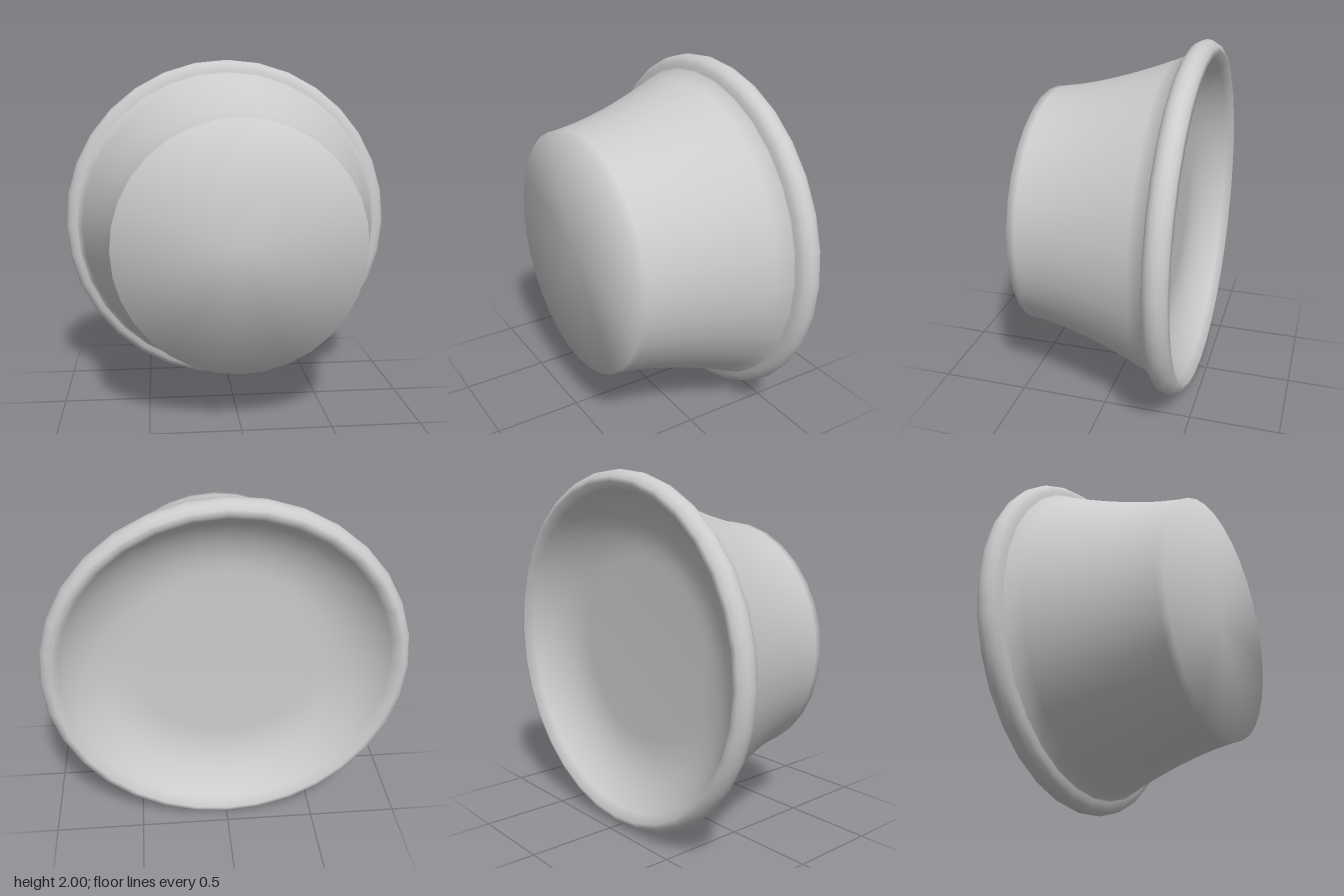
import * as THREE from 'three';

const SEGMENTS = 32;

// Unit normal of every profile point, averaged over its two neighbouring edges
function profileNormals(points) {
  const edges = points.slice(1).map((p, i) => {
    const d = p.clone().sub(points[i]);
    return new THREE.Vector2(d.y, -d.x).normalize();
  });
  return points.map((p, i) => {
    const a = edges[Math.max(i - 1, 0)];
    const b = edges[Math.min(i, edges.length - 1)];
    return p.x === 0 ? new THREE.Vector2(0, Math.sign(a.y + b.y)) : a.clone().add(b).normalize();
  });
}

// Turn a section of the profile about the z axis, keeping its shared smooth normals
function turn(points, normals) {
  const geometry = new THREE.LatheGeometry(points, SEGMENTS);
  const normal = geometry.attributes.normal;
  for (let i = 0; i < normal.count; i++) {
    const phi = Math.floor(i / points.length) / SEGMENTS * Math.PI * 2;
    const n = normals[i % points.length];
    normal.setXYZ(i, n.x * Math.sin(phi), n.y, n.x * Math.cos(phi));
  }
  return geometry.rotateX(Math.PI / 2);
}

export function createModel() {
  const group = new THREE.Group();
  const grey = new THREE.MeshStandardMaterial({ color: 0xcccccc });
  grey.name = 'plain grey';

  // Profile as (radius, z), from the middle of the back dish to the middle of the front
  const points = [];
  const starts = {};
  const add = (r, z) => points.push(new THREE.Vector2(r, z));

  // Hollow back: flat floor rising in an arc right up to the crest of the rim
  starts.backDish = 0;
  add(0, -0.248);
  for (let i = 0; i <= 8; i++) {
    const a = THREE.MathUtils.degToRad(55 * i / 8);
    add(0.52 + 0.508 * Math.sin(a), -0.248 - 0.508 * (1 - Math.cos(a)));
  }

  // Rounded rim
  starts.rim = points.length - 1;
  for (let i = 1; i <= 8; i++) {
    const a = THREE.MathUtils.degToRad(-85 + i * 175 / 8);
    add(0.93 + 0.07 * Math.cos(a), -0.395 + 0.07 * Math.sin(a));
  }

  // Flared wall narrowing to the front
  starts.flaredWall = points.length - 1;
  for (const z of [-0.322, -0.24, -0.12, 0, 0.1, 0.2, 0.3, 0.42, 0.465]) {
    add(0.69 + 0.23 * Math.pow((0.465 - z) / 0.787, 1.45), z);
  }

  // Flat front
  starts.frontFace = points.length - 1;
  add(0, 0.465);

  const normals = profileNormals(points);
  const names = Object.keys(starts);
  names.forEach((name, i) => {
    const from = starts[name];
    const to = (i + 1 < names.length ? starts[names[i + 1]] : points.length - 1) + 1;
    const mesh = new THREE.Mesh(turn(points.slice(from, to), normals.slice(from, to)), grey);
    mesh.name = name;
    mesh.position.y = 1;
    group.add(mesh);
  });
  return group;
}
